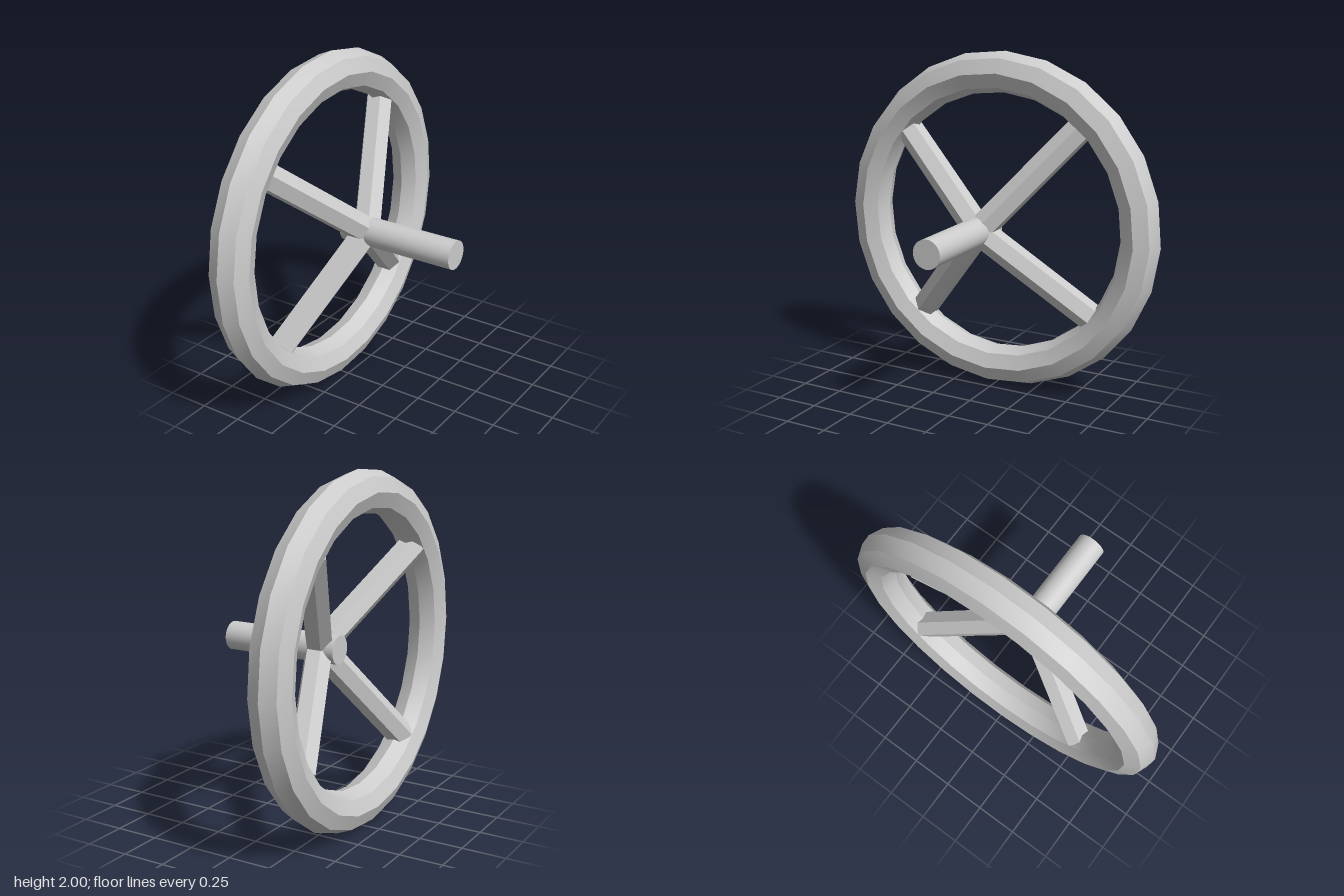
import * as THREE from 'three';
import { toCreasedNormals } from 'three/addons/utils/BufferGeometryUtils.js';

const RAD = Math.PI / 180;
const RIM_X = -0.356, RIM_R = 0.882, TUBE_R = 0.118;

export function createModel() {
  const group = new THREE.Group();
  group.name = 'handwheel';
  const material = new THREE.MeshStandardMaterial({ color: 0xcccccc });

  const add = (name, geometry) => {
    const mesh = new THREE.Mesh(toCreasedNormals(geometry, 30 * RAD), material);
    mesh.name = name;
    group.add(mesh);
    return mesh;
  };

  // Rim: octagonal section swept around the x axis
  const section = [];
  for (let i = 0; i <= 8; i++) {
    const a = i * 45 * RAD;
    section.push(new THREE.Vector2(RIM_R + TUBE_R * Math.cos(a), TUBE_R * Math.sin(a)));
  }
  const rim = new THREE.LatheGeometry(section, 24, -2 * RAD);
  rim.rotateZ(-Math.PI / 2);
  add('rim', rim).position.set(RIM_X, 1, 0);

  // Hub shaft: runs from behind the spokes out to the front
  const shaft = new THREE.CylinderGeometry(0.083, 0.083, 0.71, 32);
  shaft.rotateZ(-Math.PI / 2);
  add('shaft', shaft).position.set(0.119, 1, 0);

  // Spokes: hexagonal bars sloping back from the hub to the rim
  const start = new THREE.Vector3(-0.105, 0, 0);
  const end = new THREE.Vector3(-0.365, 0.81, 0);
  const dir = end.clone().sub(start);
  for (const angle of [49.5, 140.5, 229.5, 320.5]) {
    const bar = new THREE.CylinderGeometry(0.081, 0.081, dir.length(), 6);
    bar.rotateY(Math.PI / 2); // one edge faces along the shaft
    bar.rotateZ(Math.atan2(-dir.x, dir.y));
    bar.translate((start.x + end.x) / 2, (start.y + end.y) / 2, 0);
    bar.rotateX((angle - 90) * RAD);
    add('spoke', bar).position.y = 1;
  }

  return group;
}
